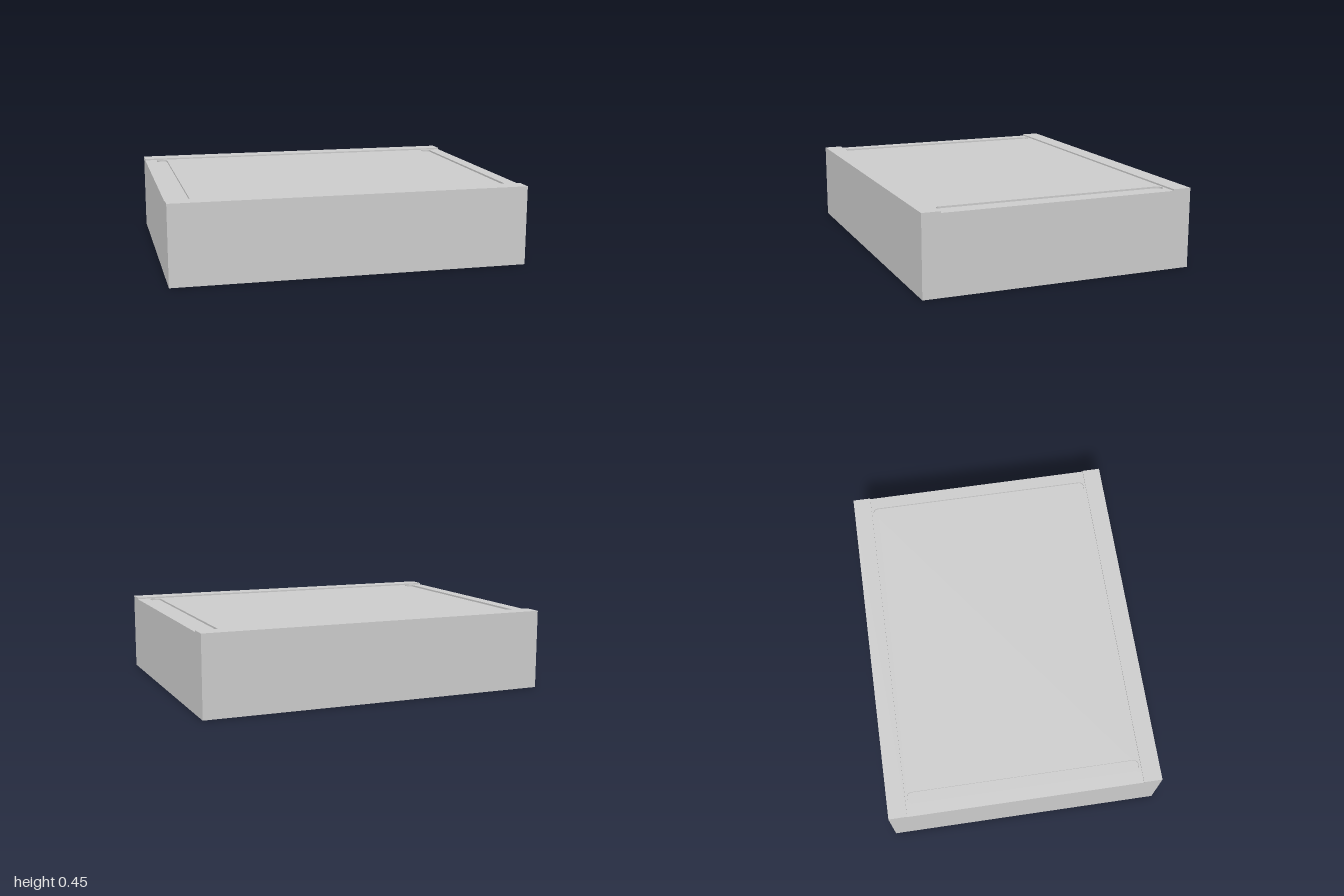
import * as THREE from 'three';

const W = 2, D = 1.544;             // footprint
const FLOOR = 0.43, DECK = 0.44, TOP = 0.449; // slot floor, deck and rail heights
const RAIL = 0.104;                 // rail width

// Rounded slot outline centred on (cx, 0)
function slotPath(cx, w, l, r) {
  const p = new THREE.Path(), x = w / 2, y = l / 2;
  p.absarc(cx + x - r, y - r, r, 0, Math.PI / 2);
  p.absarc(cx - x + r, y - r, r, Math.PI / 2, Math.PI);
  p.absarc(cx - x + r, -y + r, r, Math.PI, Math.PI * 1.5);
  p.absarc(cx + x - r, -y + r, r, Math.PI * 1.5, Math.PI * 2);
  p.closePath();
  return p;
}

export function createModel() {
  const group = new THREE.Group();
  const material = new THREE.MeshStandardMaterial({ color: 0xcccccc });
  const add = (name, geometry, x, y, z) => {
    const mesh = new THREE.Mesh(geometry, material);
    mesh.name = name;
    mesh.position.set(x, y, z);
    group.add(mesh);
    return mesh;
  };

  // Solid block; its top is the floor of the slots
  add('base', new THREE.BoxGeometry(W, FLOOR, D), 0, FLOOR / 2, 0);

  // Thin deck pierced by a long slot near each side
  const outline = new THREE.Shape([
    new THREE.Vector2(-W / 2, -D / 2), new THREE.Vector2(W / 2, -D / 2),
    new THREE.Vector2(W / 2, D / 2), new THREE.Vector2(-W / 2, D / 2),
  ]);
  for (const side of [-1, 1]) outline.holes.push(slotPath(side * 0.896, 0.064, 1.314, 0.027));
  const deck = new THREE.ExtrudeGeometry(outline, { depth: DECK - FLOOR, bevelEnabled: false, curveSegments: 6 });
  deck.rotateX(-Math.PI / 2);
  add('slottedDeck', deck, 0, FLOOR, 0);

  // Low raised rails along the front and back edges
  for (const [name, s] of [['frontRail', 1], ['backRail', -1]]) {
    add(name, new THREE.BoxGeometry(W, TOP - DECK, RAIL), 0, (TOP + DECK) / 2, s * (D - RAIL) / 2);
  }
  return group;
}
